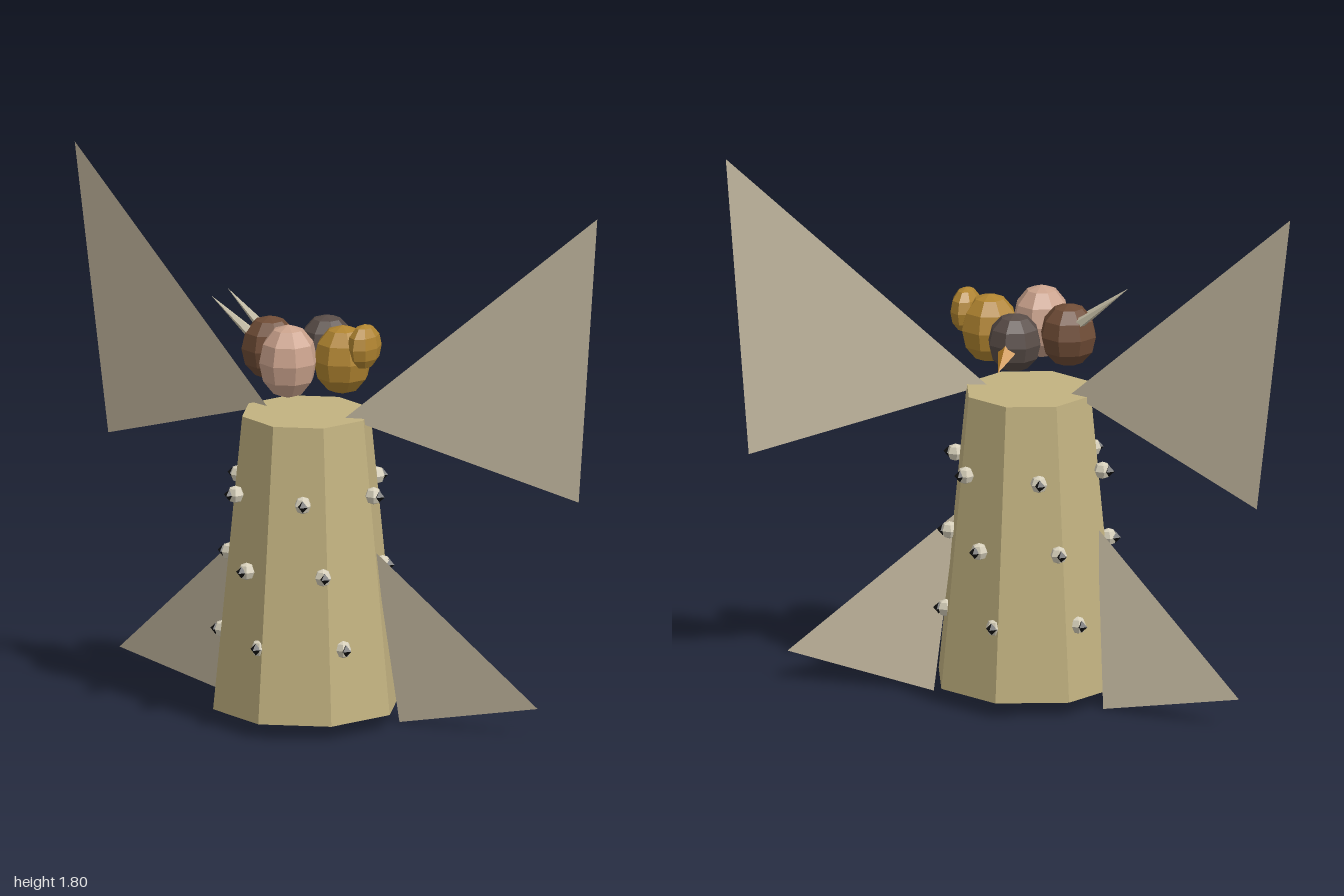
import * as THREE from 'three';

const mat = (name, color, extra = {}) => {
  const m = new THREE.MeshStandardMaterial({ color, flatShading: true, ...extra });
  m.name = name;
  return m;
};

export function createModel() {
  const M = {
    sand: mat('sand body', 0xc2b280),
    wing: mat('pale wing', 0xcbbfa6, { side: THREE.DoubleSide }),
    pink: mat('skin pink', 0xcaa28c),
    brown: mat('dark brown', 0x6f4c36),
    gold: mat('mane gold', 0xb08430),
    grey: mat('feather grey', 0x584c47),
    beak: mat('beak orange', 0xc88a28),
    horn: mat('horn bone', 0xc8c0a8),
    eye: mat('eye cream', 0xd6cfba),
    black: mat('pupil black', 0x111111),
  };
  const root = new THREE.Group();
  const add = (name, geo, material, pos = [0, 0, 0], parent = root) => {
    const mesh = new THREE.Mesh(geo, material);
    mesh.name = name;
    mesh.position.set(...pos);
    parent.add(mesh);
    return mesh;
  };

  // Eight-sided tapered body
  add('body', new THREE.CylinderGeometry(0.22, 0.32, 1, 8), M.sand, [0, 0.55, 0]);

  // Ring of four heads, plus a small round snout on the gold one
  const ball = new THREE.SphereGeometry(1, 8, 6);
  const head = (name, material, pos, size) => add(name, ball, material, pos).scale.set(...size);
  head('frontHead', M.pink, [0, 1.253, 0.12], [0.1, 0.126, 0.1]);
  head('leftHead', M.gold, [0.14, 1.25, 0], [0.1, 0.118, 0.1]);
  head('leftSnout', M.gold, [0.223, 1.305, 0], [0.05, 0.077, 0.077]);
  head('rightHead', M.brown, [-0.14, 1.255, 0], [0.097, 0.108, 0.097]);
  head('backHead', M.grey, [0, 1.253, -0.138], [0.092, 0.1, 0.092]);

  // Cone running from a base point to a tip
  const spike = (name, material, base, tip, radius, sides) => {
    const a = new THREE.Vector3(...base), b = new THREE.Vector3(...tip);
    const dir = b.clone().sub(a);
    const mesh = add(name, new THREE.ConeGeometry(radius, dir.length(), sides), material,
      a.clone().add(b).multiplyScalar(0.5).toArray());
    mesh.quaternion.setFromUnitVectors(new THREE.Vector3(0, 1, 0), dir.normalize());
  };
  spike('beak', M.beak, [0, 1.25, -0.19], [0, 1.19, -0.295], 0.04, 4);
  for (const s of [1, -1]) {
    spike('horn', M.horn, [-0.18, 1.3, s * 0.04], [-0.333, 1.42, s * 0.055], 0.02, 5);
  }

  // Flat triangular wings, mirrored
  const wing = (name, points) => {
    for (const s of [1, -1]) {
      const geo = new THREE.BufferGeometry().setFromPoints(
        points.map(([x, y, z]) => new THREE.Vector3(s * x, y, z)));
      geo.setIndex(s > 0 ? [0, 1, 2] : [0, 2, 1]);
      geo.computeVertexNormals();
      add((s > 0 ? 'left' : 'right') + name, geo, M.wing);
    }
  };
  wing('UpperWing', [[0.15, 1.05, 0], [0.9, 0.8, -0.25], [1, 1.8, -0.2]]);
  wing('LowerWing', [[0.25, 0.6, -0.02], [0.3, 0, -0.1], [0.8, 0.1, -0.15]]);

  // Three twisted rows of six eyes
  const eyeGeo = new THREE.SphereGeometry(0.03, 6, 4);
  const pupilGeo = new THREE.OctahedronGeometry(0.02);
  const eyes = new THREE.Group();
  eyes.name = 'eyes';
  root.add(eyes);
  for (const [y, radius, offset] of [[0.3, 0.278, 56], [0.55, 0.267, 42], [0.8, 0.265, 27.5]]) {
    for (let i = 0; i < 6; i++) {
      const a = THREE.MathUtils.degToRad(offset + i * 60);
      const at = (r) => [Math.sin(a) * r, y, Math.cos(a) * r];
      add('eye', eyeGeo, M.eye, at(radius), eyes);
      add('pupil', pupilGeo, M.black, at(radius + 0.023), eyes);
    }
  }
  return root;
}
